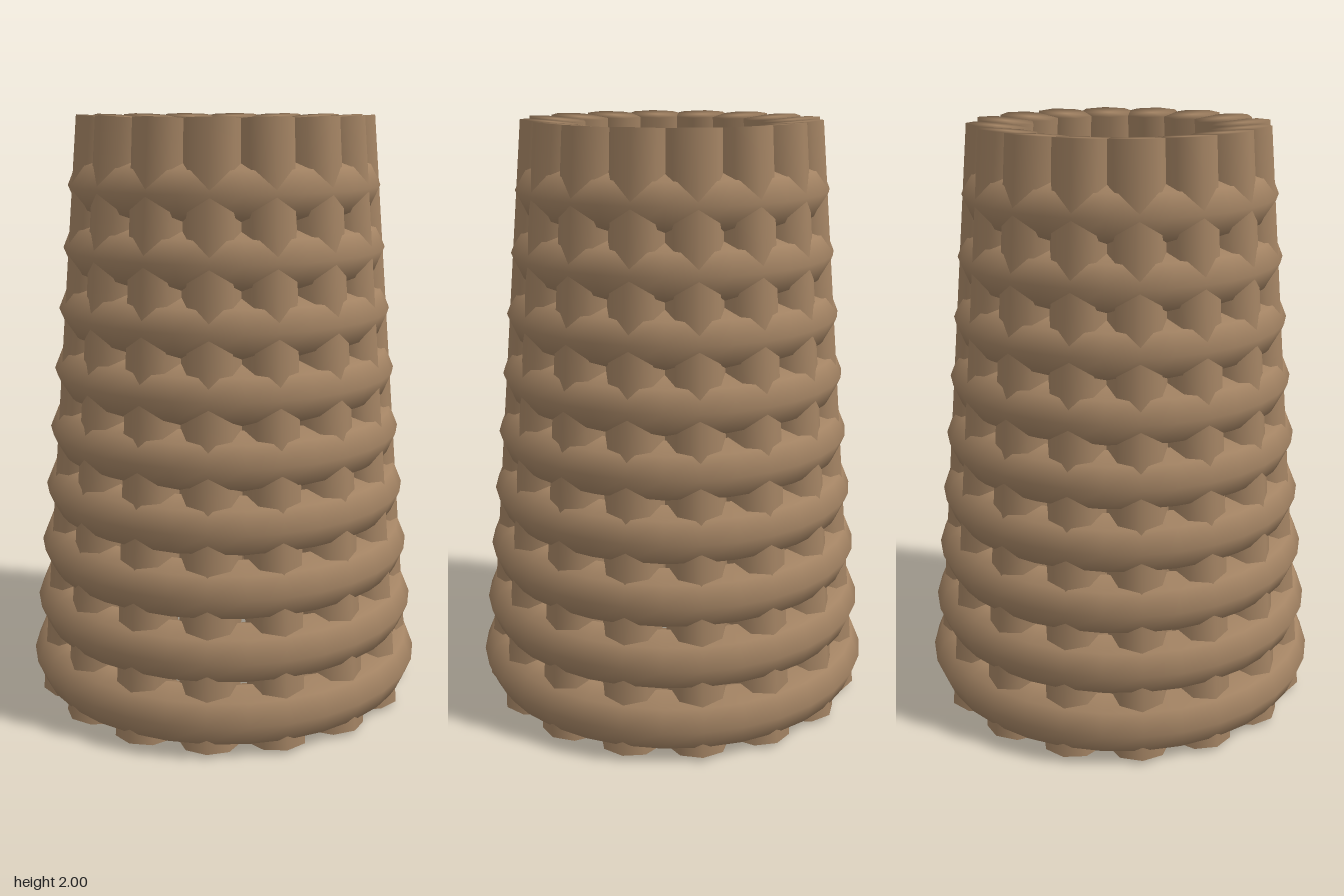
import * as THREE from 'three';
import { mergeVertices } from 'three/addons/utils/BufferGeometryUtils.js';

const STAKES = 16, RINGS = 9, R = 0.1;

// Capped rod whose side and end normals are shared, so the ends shade softly
function softRod(radius, length) {
  const g = new THREE.CylinderGeometry(radius, radius, length, 8);
  g.deleteAttribute('uv');
  g.deleteAttribute('normal');
  const merged = mergeVertices(g, 1e-4);
  merged.computeVertexNormals();
  return merged;
}

export function createModel() {
  const model = new THREE.Group();
  model.name = 'wovenBasket';
  const wicker = new THREE.MeshStandardMaterial({ color: 0xa38363 });
  wicker.name = 'wicker brown';

  // Upright stakes leaning inward towards the top
  const bottom = new THREE.Vector3(0, 0.009, 0.572);
  const top = new THREE.Vector3(0, 1.991, 0.4);
  const axis = top.clone().sub(bottom);
  const rod = softRod(R, axis.length());
  const stakes = new THREE.Group();
  stakes.name = 'stakes';
  for (let i = 0; i < STAKES; i++) {
    const pivot = new THREE.Group();
    pivot.name = 'stake';
    pivot.rotation.y = (i / STAKES) * Math.PI * 2;
    const stake = new THREE.Mesh(rod, wicker);
    stake.name = 'stakeRod';
    stake.position.copy(bottom).add(top).multiplyScalar(0.5);
    stake.quaternion.setFromUnitVectors(new THREE.Vector3(0, 1, 0), axis.clone().normalize());
    pivot.add(stake);
    stakes.add(pivot);
  }
  model.add(stakes);

  // Horizontal hoops, shrinking with height
  const hoops = new THREE.Group();
  hoops.name = 'hoops';
  for (let i = 0; i < RINGS; i++) {
    const hoop = new THREE.Mesh(new THREE.TorusGeometry(0.59 - i * 0.0208, R, 8, 32), wicker);
    hoop.name = 'hoop';
    hoop.rotation.x = Math.PI / 2;
    hoop.position.y = 0.12 + i * 0.2065;
    hoops.add(hoop);
  }
  model.add(hoops);

  return model;
}
